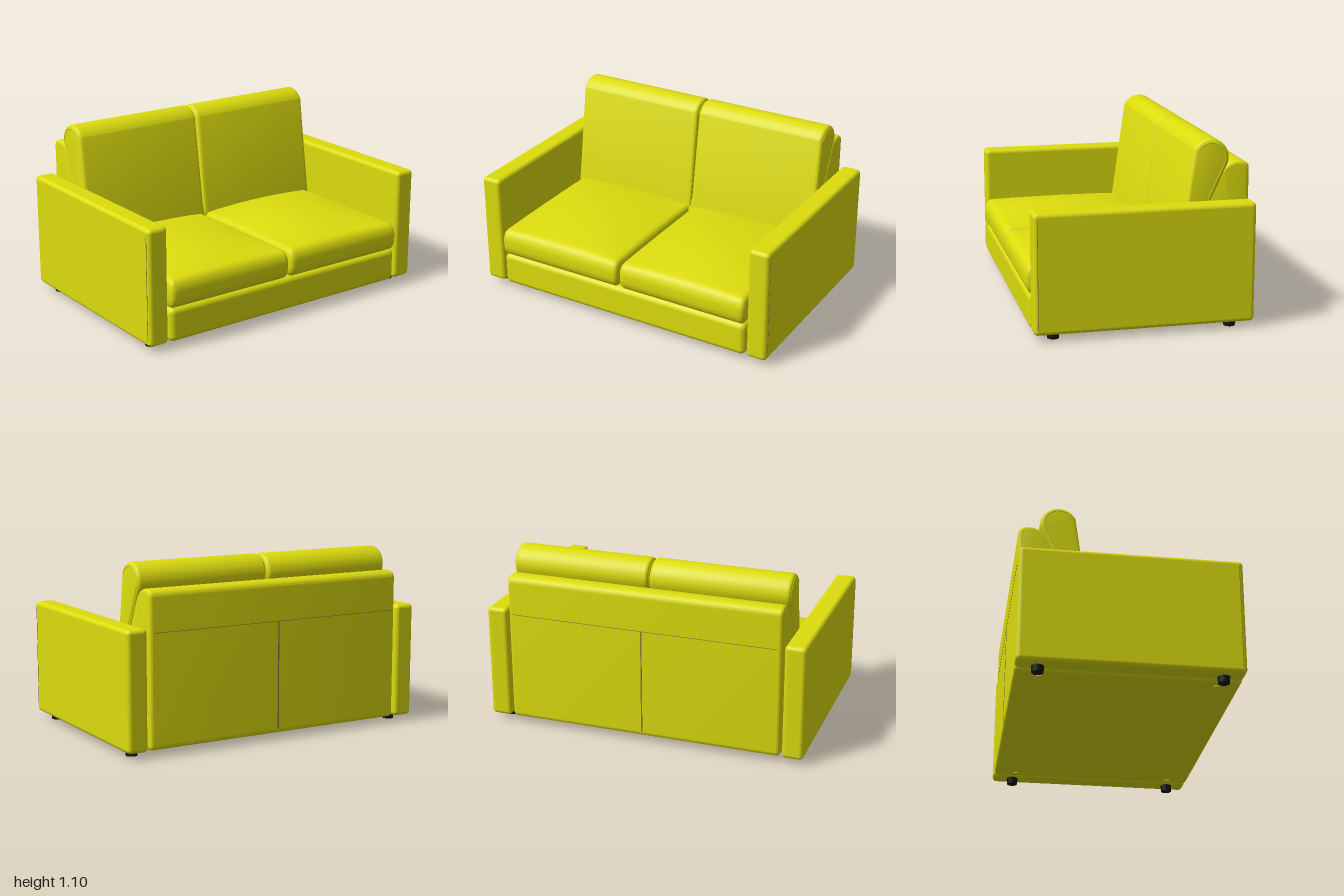
import * as THREE from 'three';
import { mergeVertices, toCreasedNormals } from 'three/addons/utils/BufferGeometryUtils.js';
import { RoundedBoxGeometry } from 'three/addons/geometries/RoundedBoxGeometry.js';

const material = (name, color) => {
  const m = new THREE.MeshStandardMaterial({ color });
  m.name = name;
  return m;
};

export function createModel() {
  const sofa = new THREE.Group();
  sofa.name = 'sofa';
  const fabric = material('yellow fabric', 0xdcdc0e);
  const black = material('black plastic', 0x141414);
  const thread = material('seam thread', 0x8c7c3c);

  const add = (name, geometry, mat, x = 0, y = 0, z = 0) => {
    const mesh = new THREE.Mesh(geometry, mat);
    mesh.name = name;
    mesh.position.set(x, y, z);
    sofa.add(mesh);
    return mesh;
  };

  // Box with a soft elliptical edge and a crowned top
  function pillow(w, h, d, radii, crown) {
    const geo = new THREE.BoxGeometry(2, 2, 2, 32, 24, 32);
    geo.deleteAttribute('uv');
    geo.deleteAttribute('normal');
    const half = new THREE.Vector3(w / 2, h / 2, d / 2);
    const inner = half.clone().sub(radii);
    const pos = geo.attributes.position;
    const p = new THREE.Vector3(), core = new THREE.Vector3();
    for (let i = 0; i < pos.count; i++) {
      p.fromBufferAttribute(pos, i);
      // crowd the grid lines towards the edges
      p.set(...p.toArray().map((v) => Math.sin(v * Math.PI / 2))).multiply(half);
      core.copy(p).clamp(inner.clone().negate(), inner);
      p.sub(core).divide(radii).normalize().multiply(radii).add(core);
      const sx = p.x / half.x, sz = p.z / half.z;
      if (p.y > 0) p.y += crown * (p.y / half.y) * (1 - sx * sx) * (1 - sz * sz);
      pos.setXYZ(i, p.x, p.y, p.z);
    }
    const merged = mergeVertices(geo);
    merged.computeVertexNormals();
    return merged;
  }

  // Side profile (drawn as -z, y) swept along x with rounded ends
  function sweep(shape, width, bevel) {
    const geo = new THREE.ExtrudeGeometry(shape, {
      depth: width - 2 * bevel, bevelSize: bevel, bevelThickness: bevel,
      bevelOffset: -bevel, bevelSegments: 5, curveSegments: 20,
    });
    geo.translate(0, 0, bevel - width / 2);
    geo.rotateY(Math.PI / 2);
    return toCreasedNormals(geo, 0.6);
  }

  // Base between the arms
  add('base', new RoundedBoxGeometry(1.72, 0.21, 1.29, 5, 0.035), fabric, 0, 0.14, -0.003);

  // Back frame with a sloping front and a rounded top
  const frame = new THREE.Shape();
  frame.moveTo(0.22, 0.06);
  frame.lineTo(0.22, 0.36);
  frame.lineTo(0.41, 0.75);
  frame.lineTo(0.485, 0.895);
  frame.quadraticCurveTo(0.52, 0.963, 0.595, 0.965);
  frame.quadraticCurveTo(0.66, 0.965, 0.66, 0.92);
  frame.lineTo(0.66, 0.07);
  frame.quadraticCurveTo(0.66, 0.04, 0.63, 0.04);
  frame.lineTo(0.24, 0.04);
  frame.closePath();
  add('backFrame', sweep(frame, 1.71, 0.02), fabric);

  // Seams on the rear
  add('rearCentreSeam', new THREE.BoxGeometry(0.008, 0.65, 0.004), thread, 0, 0.395, -0.66);
  add('rearCrossSeam', new THREE.BoxGeometry(1.66, 0.003, 0.003), thread, 0, 0.72, -0.66);

  // Tilted outline of a back cushion; inset shrinks it for the piping
  const tilt = 0.433, cz = 0.425, cy = 0.99;
  const along = new THREE.Vector2(-Math.sin(tilt), -Math.cos(tilt));
  const across = new THREE.Vector2(Math.cos(tilt), -Math.sin(tilt));
  function cushionOutline(inset) {
    const r = 0.11 - inset, length = 0.72 - inset;
    const at = (side, t) => new THREE.Vector2(cz, cy).addScaledVector(across, side * r).addScaledVector(along, t);
    const s = new THREE.Shape();
    const front = at(-1, length), back = at(1, length);
    s.moveTo(front.x, front.y);
    s.absarc(cz, cy, r, Math.PI - tilt, -tilt, true);
    s.lineTo(back.x, back.y);
    return s;
  }
  const backGeo = sweep(cushionOutline(0), 0.858, 0.022);
  const pipingPath = new THREE.CurvePath();
  const points = cushionOutline(0.022).getPoints(20).map((p) => new THREE.Vector3(0, p.y, -p.x));
  for (let i = 1; i < points.length; i++) pipingPath.add(new THREE.LineCurve3(points[i - 1], points[i]));
  const pipingGeo = new THREE.TubeGeometry(pipingPath, 90, 0.004, 6);

  const seatGeo = pillow(0.858, 0.175, 1.0, new THREE.Vector3(0.03, 0.075, 0.05), 0.05);
  const armGeo = new RoundedBoxGeometry(0.13, 0.71, 1.3, 5, 0.026);
  const footGeo = new THREE.CylinderGeometry(0.037, 0.034, 0.04, 16);
  const glideGeo = new THREE.BoxGeometry(0.04, 0.008, 0.025);

  for (const side of [1, -1]) {
    const name = side > 0 ? 'left' : 'right';

    // Cushions
    add(name + 'SeatCushion', seatGeo, fabric, side * 0.432, 0.328, 0.157);
    add(name + 'BackCushion', backGeo, fabric, side * 0.434);
    for (const x of [0.006, 0.862]) add(name + 'CushionPiping', pipingGeo, fabric, side * x);

    // Arm with stitched front edge
    add(name + 'Arm', armGeo, fabric, side * 0.935, 0.393, -0.013);
    add(name + 'ArmSeam', new THREE.BoxGeometry(0.003, 0.64, 0.003), thread, side * 1.0, 0.393, 0.613);

    // Feet under the arm and small glides under the base
    for (const z of [0.515, -0.535]) {
      add(name + 'Foot', footGeo, black, side * 0.917, 0.02, z);
      add(name + 'Glide', glideGeo, fabric, side * 0.79, 0.032, z * 0.97);
    }
  }
  return sofa;
}
